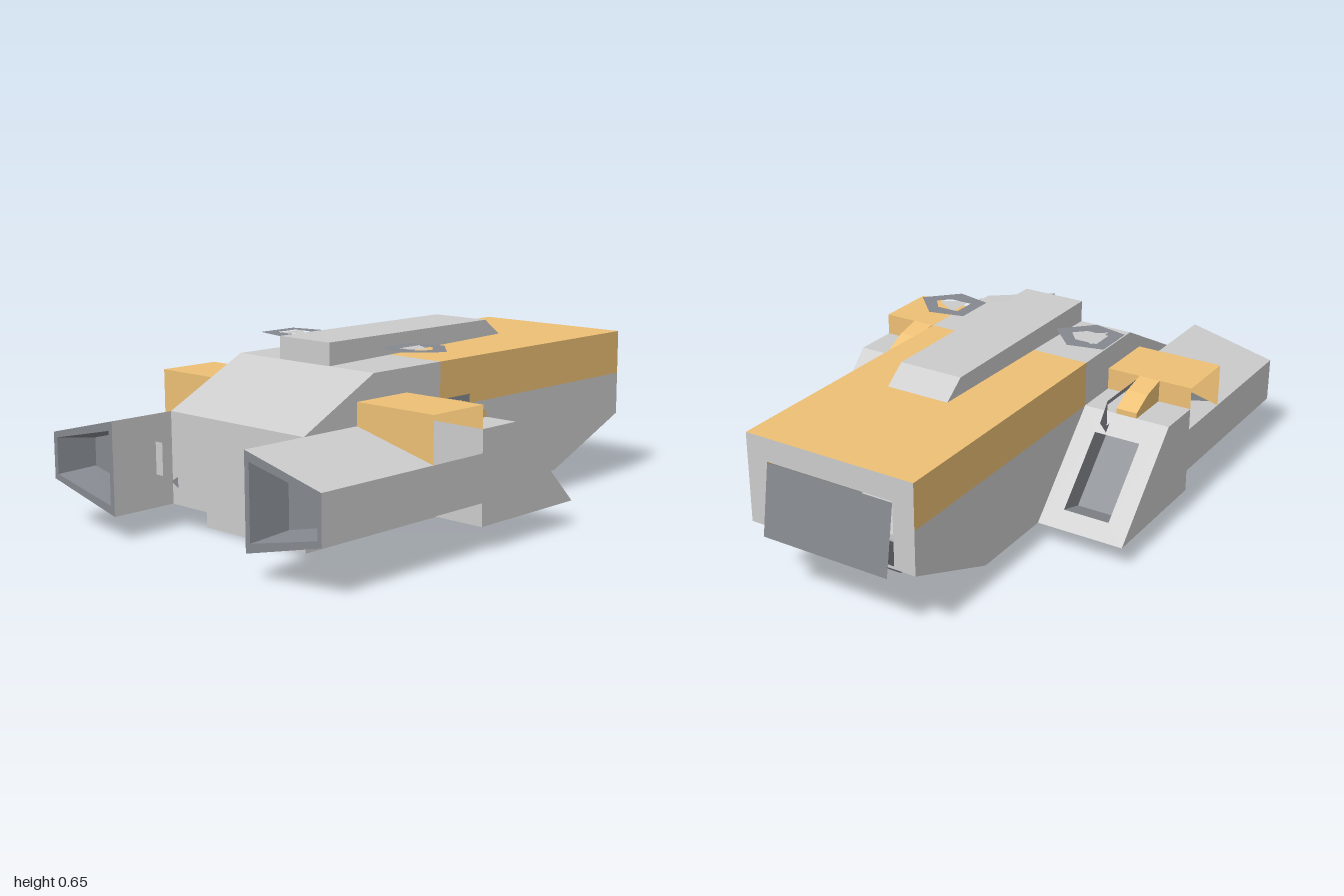
import * as THREE from 'three';

const material = (color) => new THREE.MeshStandardMaterial({ color, flatShading: true, side: THREE.DoubleSide });

export function createModel() {
  const model = new THREE.Group();
  const grey = material(0xcccccc);
  const dark = material(0x85898f);
  const black = material(0x55565a);
  const orange = material(0xedc075);

  // Mesh from a list of convex 3D loops, each fanned into triangles
  function faces(name, loops, mat = grey) {
    const p = [];
    for (const l of loops)
      for (let i = 1; i < l.length - 1; i++) p.push(...l[0], ...l[i], ...l[i + 1]);
    const g = new THREE.BufferGeometry();
    g.setAttribute('position', new THREE.Float32BufferAttribute(p, 3));
    g.computeVertexNormals();
    const mesh = new THREE.Mesh(g, mat);
    mesh.name = name;
    model.add(mesh);
    return mesh;
  }
  // Quads joining two loops with equal corner counts
  const band = (a, b) => a.map((v, i) => {
    const j = (i + 1) % a.length;
    return [v, a[j], b[j], b[i]];
  });
  // Flat sheet with optional hole; place() maps its 2D points into space
  function sheet(name, pts, hole, place, mat = grey) {
    const v = (q) => q.map(([a, b]) => new THREE.Vector2(a, b));
    const s = new THREE.Shape(v(pts));
    if (hole) s.holes.push(new THREE.Path(v(hole)));
    const g = new THREE.ShapeGeometry(s);
    const pos = g.attributes.position;
    for (let i = 0; i < pos.count; i++) pos.setXYZ(i, ...place(pos.getX(i), pos.getY(i)));
    g.computeVertexNormals();
    const mesh = new THREE.Mesh(g, mat);
    mesh.name = name;
    model.add(mesh);
  }
  // Convex (z, y) profile swept across x
  function prism(name, profile, x0, x1, mat = grey) {
    const a = profile.map(([z, y]) => [x0, y, z]);
    const b = profile.map(([z, y]) => [x1, y, z]);
    faces(name, [a, b, ...band(a, b)], mat);
  }
  // Strip spanning the hull between two (z, y) points
  const strip = (w, [z0, y0], [z1, y1]) => [[-w, y0, z0], [w, y0, z0], [w, y1, z1], [-w, y1, z1]];

  // Main hull shell
  const W = 0.325;
  faces('hullShell', [
    strip(W, [0.75, 0.085], [0.75, 0.41]),
    strip(W, [0.75, 0.41], [0.43, 0.575]),
    strip(W, [0.43, 0.575], [0.1, 0.575]),
    strip(W, [-0.56, 0.085], [0.75, 0.085]),
    ...band(strip(W, [-0.96, 0.25], [-0.96, 0.575]), strip(0.245, [-0.96, 0.26], [-0.96, 0.49])),
    ...band(strip(W, [-0.96, 0.25], [-0.56, 0.085]), strip(0.245, [-0.93, 0.238], [-0.63, 0.114])),
  ]);
  faces('rearRoof', [strip(W, [0.1, 0.575], [-0.96, 0.575])], orange);
  for (const s of [-1, 1]) {
    const toSide = (z, y) => [s * W, y, z];
    sheet('hullSide',
      [[0.75, 0.085], [0.75, 0.41], [0.43, 0.575], [0.1, 0.575], [0.1, 0.41], [-0.96, 0.41], [-0.96, 0.25], [-0.56, 0.085]],
      [[0.51, 0.33], [0.51, 0.49], [0.27, 0.49], [0.27, 0.33]], toSide);
    sheet('rearSidePanel', [[0.1, 0.41], [0.1, 0.575], [-0.96, 0.575], [-0.96, 0.41]], null, toSide, orange);
  }

  // Rear doors, slightly ajar
  faces('rearDoor', [strip(0.245, [-0.96, 0.485], [-1, 0.235])], dark);
  faces('rearRamp', [strip(0.245, [-0.93, 0.222], [-0.63, 0.108])], black);

  // Keel and roof spine
  prism('keel', [[0.67, 0], [0.67, 0.085], [-0.47, 0.085], [-0.39, 0]], -0.245, 0.245);
  prism('roofSpine', [[0.43, 0.575], [0.43, 0.655], [-0.39, 0.655], [-0.47, 0.595]], -0.12, 0.12);

  // Side pods
  for (const s of [-1, 1]) {
    const at = (pts, z) => pts.map(([x, y]) => [s * x, y, z]);
    const section = [[0.325, 0.085], [0.655, 0.165], [0.655, 0.33], [0.325, 0.41]];
    const mouth = [[0.345, 0.12], [0.637, 0.183], [0.637, 0.312], [0.345, 0.375]];
    const back = [[0.37, 0.14], [0.61, 0.195], [0.61, 0.295], [0.37, 0.355]];

    // Forward pod: underside, outer wall, top ahead of the housing, inner wall
    const [a, b, c, d] = at(section, 1);
    const [a2, b2] = at(section, 0.27);
    const [a1, , c1, d1] = at(section, 0.51);
    const c2 = at(section, 0.27)[2];
    faces('podBody', [[a, b, b2, a2], [b, c, c2, b2], [c, d, d1, c1], [a, d, d1, a1]]);

    // Intake
    faces('intakeRim', band(at(section, 1), at(mouth, 1)), dark);
    faces('intakeWalls', band(at(mouth, 1), at(back, 0.86)), dark);
    faces('intakePanel', [at(back, 0.86)], dark);

    // Rear block with an exhaust recess in its slanted back
    const x0 = s * 0.325, x1 = s * 0.655, e0 = s * 0.4, e1 = s * 0.575;
    const profile = [[0.27, 0.085], [0.27, 0.41], [0.1, 0.41], [-0.22, 0.085]];
    const L = profile.map(([z, y]) => [x0, y, z]);
    const R = profile.map(([z, y]) => [x1, y, z]);
    const slantY = (z) => 0.41 - (0.1 - z) * 1.016;
    const rect = (dz, dy) => [[e0, slantY(0.04) + dy, 0.04 + dz], [e1, slantY(0.04) + dy, 0.04 + dz],
      [e1, slantY(-0.17) + dy, -0.17 + dz], [e0, slantY(-0.17) + dy, -0.17 + dz]];
    faces('podRearBlock', [L, R, [L[0], L[1], R[1], R[0]], [L[1], L[2], R[2], R[1]], [L[3], L[0], R[0], R[3]],
      ...band([L[2], R[2], R[3], L[3]], rect(0, 0))]);
    faces('exhaustWalls', band(rect(0, 0), rect(0.1, -0.03)), dark);
    faces('exhaustPanel', [rect(0.1, -0.03)], dark);

    // Open-sided housing on the pod, with a wedge arm behind it
    const end = [[0.325, 0.41], [0.655, 0.33], [0.655, 0.49], [0.325, 0.49]];
    const F = at(end, 0.51), B = at(end, 0.27);
    faces('housing', [F, B, [F[2], F[3], B[3], B[2]]], orange);
    prism('housingArm', [[0.27, 0.41], [0.27, 0.49], [0.18, 0.47], [0.1, 0.43], [0.1, 0.41]], s * 0.45, s * 0.53, orange);

    // Upright marker plate beside the housing
    const along = (z, y) => [s * 0.44, y, 0.2 + s * (0.2 - z)];
    sheet('sideMarker', [[0, 0.41], [0.05, 0.475], [0.32, 0.475], [0.32, 0.35], [0.05, 0.35]],
      [[0.05, 0.38], [0.05, 0.46], [0.28, 0.46], [0.28, 0.38]], along, dark);

    // Small nose plates
    sheet('nosePlate', [[0.29, 0.2], [0.37, 0.2], [0.37, 0.315], [0.29, 0.315]], null,
      (x, y) => [s * x, y, 0.82]);
    sheet('noseArrow', [[0.26, 0.155], [0.295, 0.175], [0.26, 0.195]], null,
      (x, y) => [s * x, y, 0.78], dark);
  }

  // Flat roof markers, both pointing the same way
  for (const x0 of [-0.38, 0.205]) {
    const flat = (x, z) => [x0 + x, 0.63, z];
    sheet('roofMarker', [[0, 0.12], [0.13, 0.09], [0.235, 0.2], [0.13, 0.31], [0, 0.28]],
      [[0.045, 0.15], [0.13, 0.15], [0.17, 0.2], [0.13, 0.24], [0.045, 0.24]], flat, dark);
    sheet('roofArrow', [[0.06, 0.14], [0.155, 0.2], [0.06, 0.265]], null, flat);
  }
  return model;
}
